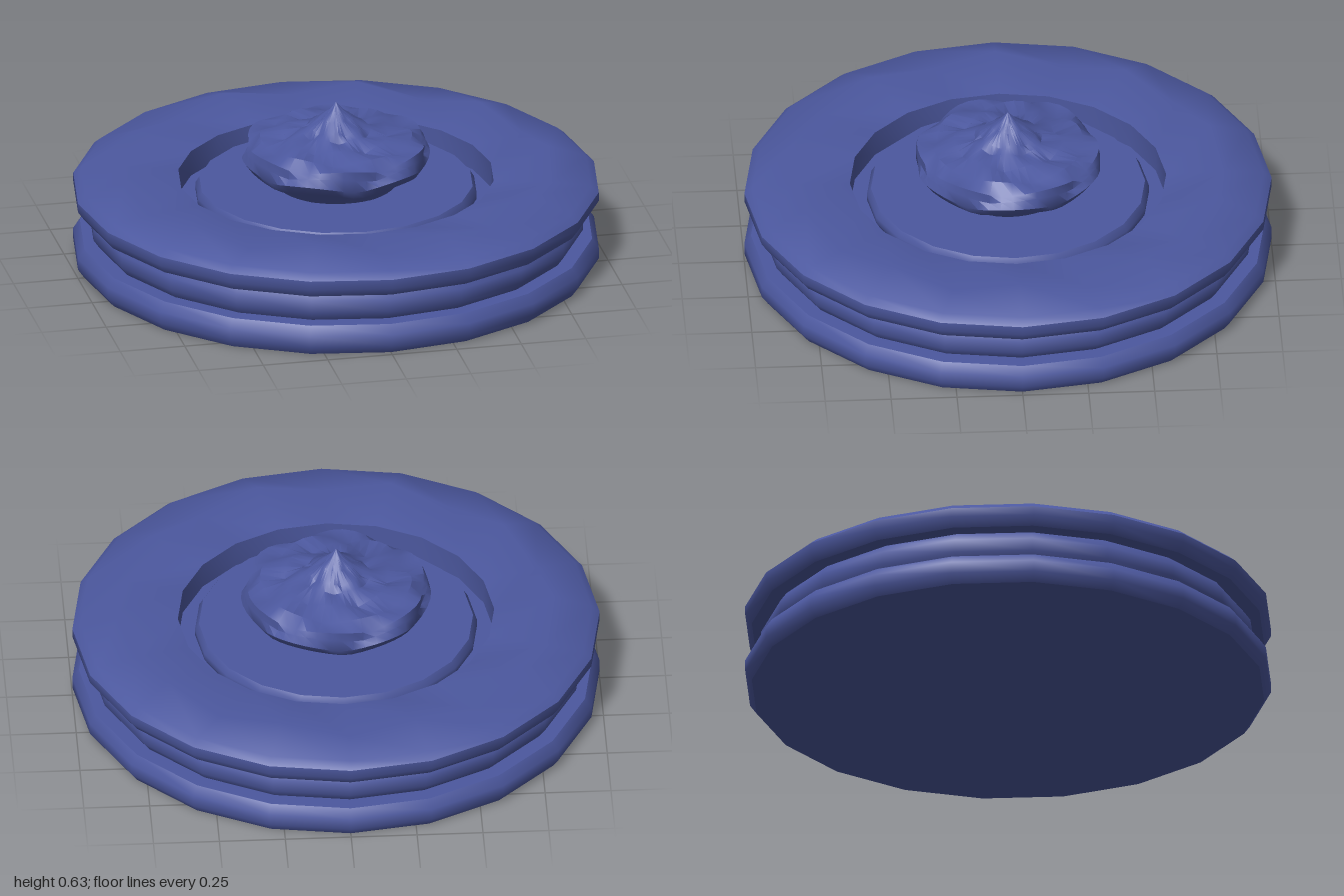
import * as THREE from 'three';
import { toCreasedNormals } from 'three/addons/utils/BufferGeometryUtils.js';

const SIDES = 20;
const material = new THREE.MeshStandardMaterial({ color: 0x4c589f });

// Turns a [radius, height] profile, then optionally moves each vertex by a rule.
function turned(name, profile, { sides = SIDES, crease = 0.8, move } = {}) {
  const points = profile.map(([r, y]) => new THREE.Vector2(r, y));
  const geometry = new THREE.LatheGeometry(points, sides);
  if (move) {
    const pos = geometry.attributes.position;
    const v = new THREE.Vector3();
    for (let i = 0; i < pos.count; i++) {
      move(v.fromBufferAttribute(pos, i));
      pos.setXYZ(i, v.x, v.y, v.z);
    }
  }
  const mesh = new THREE.Mesh(toCreasedNormals(geometry, crease), material);
  mesh.name = name;
  return mesh;
}

// Flat disc with a bevelled rim.
function discProfile(radius, bottom, top, bevel = 0.025) {
  const rise = Math.min(0.035, (top - bottom) / 3);
  return [
    [0, bottom], [radius - bevel, bottom], [radius, bottom + rise],
    [radius, top - rise], [radius - bevel, top], [0, top],
  ];
}

export function createModel() {
  const group = new THREE.Group();
  group.name = 'layeredBiscuit';

  group.add(turned('bottomBiscuit', discProfile(1, 0, 0.115)));
  group.add(turned('filling', discProfile(0.94, 0.115, 0.235)));

  // Top ring: every other corner of the crest is raised, giving ten low waves
  group.add(turned('topBiscuit', [
    [0.6, 0.235], [0.975, 0.235], [1, 0.27], [1, 0.305],
    [0.97, 0.33], [0.82, 0.362], [0.6, 0.335], [0.6, 0.235],
  ], {
    move(v) {
      const r = Math.hypot(v.x, v.z);
      if (Math.abs(r - 0.82) < 0.01) v.y += 0.023 * Math.cos(10 * Math.atan2(v.z, v.x));
    },
  }));

  // Raised disc inside the ring, leaving a narrow groove around it
  group.add(turned('centreDisc', discProfile(0.535, 0.235, 0.31, 0.015)));

  // Piped cream: six ridges that wind inwards towards the tip
  group.add(turned('creamSwirl', [
    [0, 0.3], [0.22, 0.3], [0.26, 0.345], [0.325, 0.375], [0.35, 0.41], [0.342, 0.445],
    [0.335, 0.472], [0.28, 0.49], [0.2, 0.503], [0.13, 0.52], [0.105, 0.54],
    [0.06, 0.575], [0.025, 0.605], [0, 0.635],
  ], {
    sides: 48,
    crease: 0.7,
    move(v) {
      const r = Math.hypot(v.x, v.z);
      if (r < 0.001 || v.y < 0.32) return;
      const angle = Math.atan2(v.x, v.z);
      const twist = 2.4 * (1 - r / 0.35) + 4 * (v.y - 0.4);
      const ridge = Math.abs(Math.sin(3 * (angle - twist))) - 0.55;
      const scale = 1 + 0.07 * ridge;
      v.x *= scale;
      v.z *= scale;
      v.y += 0.03 * ridge * Math.min(1, r / 0.2);
    },
  }));

  return group;
}
